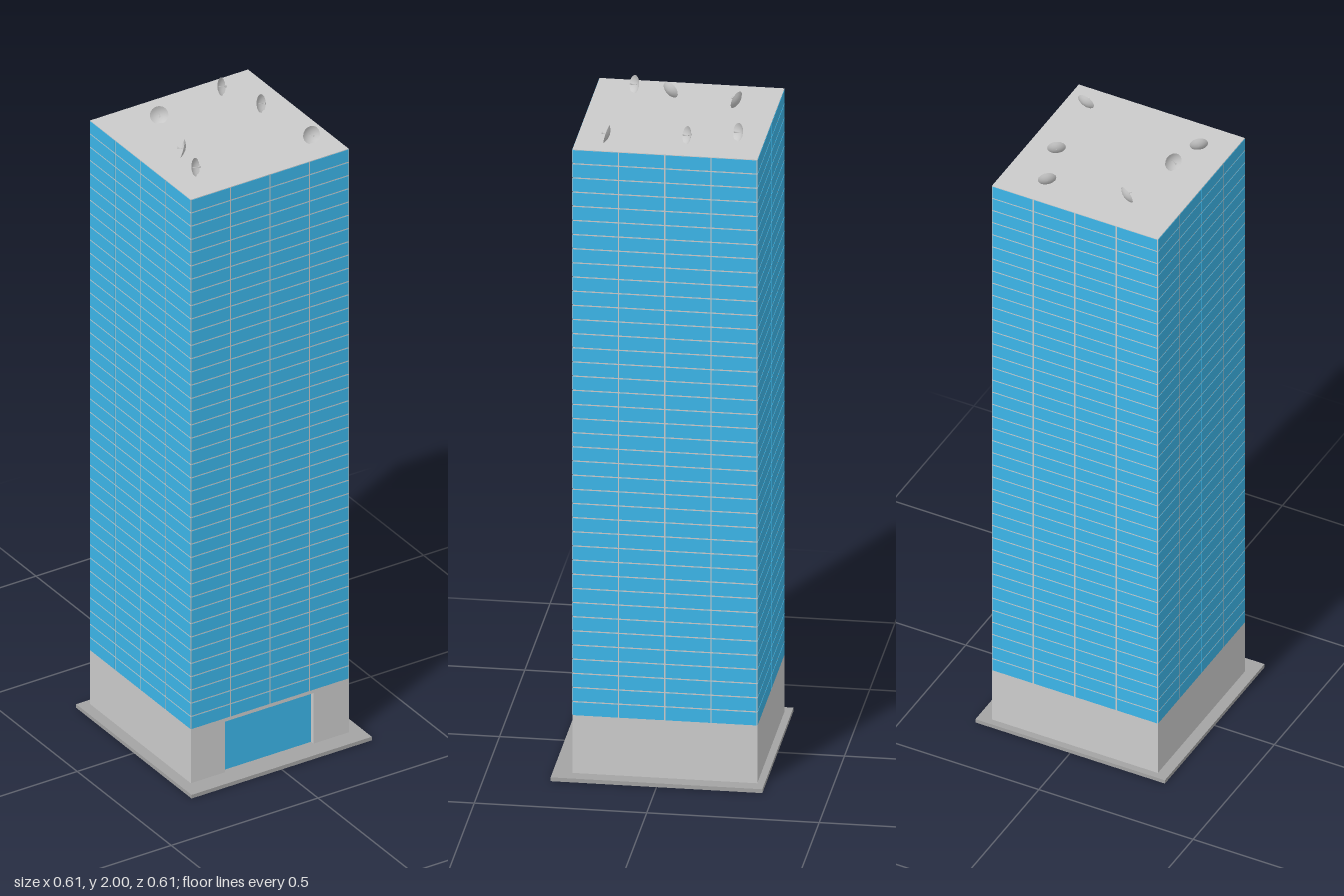
import * as THREE from 'three';
import { mergeGeometries } from 'three/addons/utils/BufferGeometryUtils.js';

const grey = new THREE.MeshStandardMaterial({ color: 0xcccccc });
const greyThin = new THREE.MeshStandardMaterial({ color: 0xcccccc, side: THREE.DoubleSide });
const paving = new THREE.MeshStandardMaterial({ color: 0xa4a4a4 });
const glass = new THREE.MeshStandardMaterial({ color: 0x3cb6e9 });

// Tower footprint and levels
const X0 = -0.273, X1 = 0.265, Z0 = -0.286, Z1 = 0.25;
const GROUND = 0.012, LOBBY = 0.19, ROOF = 1.95;
const FLOORS = 40, BAYS = 4, GAP = 0.004, PROUD = 0.001;

function add(parent, name, geometry, material) {
  const mesh = new THREE.Mesh(geometry, material);
  mesh.name = name;
  parent.add(mesh);
  return mesh;
}

// Box given by its lower and upper corners
function boxBetween(x0, y0, z0, x1, y1, z1) {
  return new THREE.BoxGeometry(x1 - x0, y1 - y0, z1 - z0)
    .translate((x0 + x1) / 2, (y0 + y1) / 2, (z0 + z1) / 2);
}

// Grid of window panes in the xy plane, facing +z
function paneGrid(width) {
  const bay = width / BAYS, floor = (ROOF - LOBBY) / FLOORS, panes = [];
  for (let i = 0; i < BAYS; i++) {
    for (let j = 0; j < FLOORS; j++) {
      panes.push(new THREE.BoxGeometry(bay - GAP, floor - GAP, PROUD * 2)
        .translate(-width / 2 + (i + 0.5) * bay, LOBBY + (j + 0.5) * floor, 0));
    }
  }
  return mergeGeometries(panes);
}

// Satellite dish facing +z, tilted up, with a feed rod and horn
function makeDish() {
  const dish = new THREE.Group();
  const R = 0.027, depth = 0.009;
  const profile = [];
  for (let i = 0; i <= 4; i++) {
    const r = R * i / 4;
    profile.push(new THREE.Vector2(r, depth * (r / R) ** 2 - depth));
  }
  add(dish, 'dishBowl', new THREE.LatheGeometry(profile, 16).rotateX(Math.PI / 2), greyThin);
  add(dish, 'feedRod', new THREE.CylinderGeometry(0.001, 0.001, 0.022, 6)
    .rotateX(Math.PI / 2).translate(0, 0, 0.002), grey);
  add(dish, 'feedHorn', new THREE.CylinderGeometry(0.003, 0.002, 0.003, 8)
    .rotateX(Math.PI / 2).translate(0, 0, 0.013), grey);
  return dish;
}

export function createModel() {
  const model = new THREE.Group();
  model.name = 'officeTower';

  // Paved plot
  add(model, 'groundSlab', boxBetween(-0.307, 0, -0.307, 0.307, GROUND, 0.307), paving);

  // Solid body, with the front wall cut out around the entrance
  const recess = 0.015, doorL = -0.157, doorR = 0.145, doorTop = 0.18;
  add(model, 'towerCore', boxBetween(X0, GROUND, Z0, X1, ROOF, Z1 - recess), grey);
  const wall = new THREE.Shape();
  [[X0, GROUND], [doorL, GROUND], [doorL, doorTop], [doorR, doorTop], [doorR, GROUND],
    [X1, GROUND], [X1, ROOF], [X0, ROOF]]
    .forEach(([x, y], i) => (i ? wall.lineTo(x, y) : wall.moveTo(x, y)));
  add(model, 'frontWall', new THREE.ExtrudeGeometry(wall, { depth: recess, bevelEnabled: false })
    .translate(0, 0, Z1 - recess), grey);
  add(model, 'entranceGlass',
    boxBetween(doorL, GROUND, Z1 - recess - 0.002, doorR, doorTop, Z1 - recess + 0.002), glass);

  // Four glazed facades
  const cx = (X0 + X1) / 2, cz = (Z0 + Z1) / 2;
  [
    ['frontWindows', X1 - X0, cx, Z1, 0],
    ['leftWindows', Z1 - Z0, X1, cz, Math.PI / 2],
    ['backWindows', X1 - X0, cx, Z0, Math.PI],
    ['rightWindows', Z1 - Z0, X0, cz, -Math.PI / 2],
  ].forEach(([name, width, x, z, turn]) => {
    const facade = add(model, name, paneGrid(width), glass);
    facade.position.set(x, 0, z);
    facade.rotation.y = turn;
  });

  // Roof dishes: x, z, then facing direction in x and z
  [
    [-0.112, -0.17, -0.44, 0.9],
    [0.126, -0.21, 0.6, 0.8],
    [0.17, -0.068, 0.52, 0.85],
    [-0.159, 0.027, -0.83, -0.56],
    [-0.184, 0.136, 0.58, 0.81],
    [0.195, 0.161, -0.1, 0.99],
  ].forEach(([x, z, dx, dz], i) => {
    const dish = makeDish();
    dish.name = `satelliteDish${i + 1}`;
    dish.rotation.set(-0.26, Math.atan2(dx, dz), 0, 'YXZ');
    dish.position.set(x, 1.974, z);
    model.add(dish);
  });

  return model;
}
